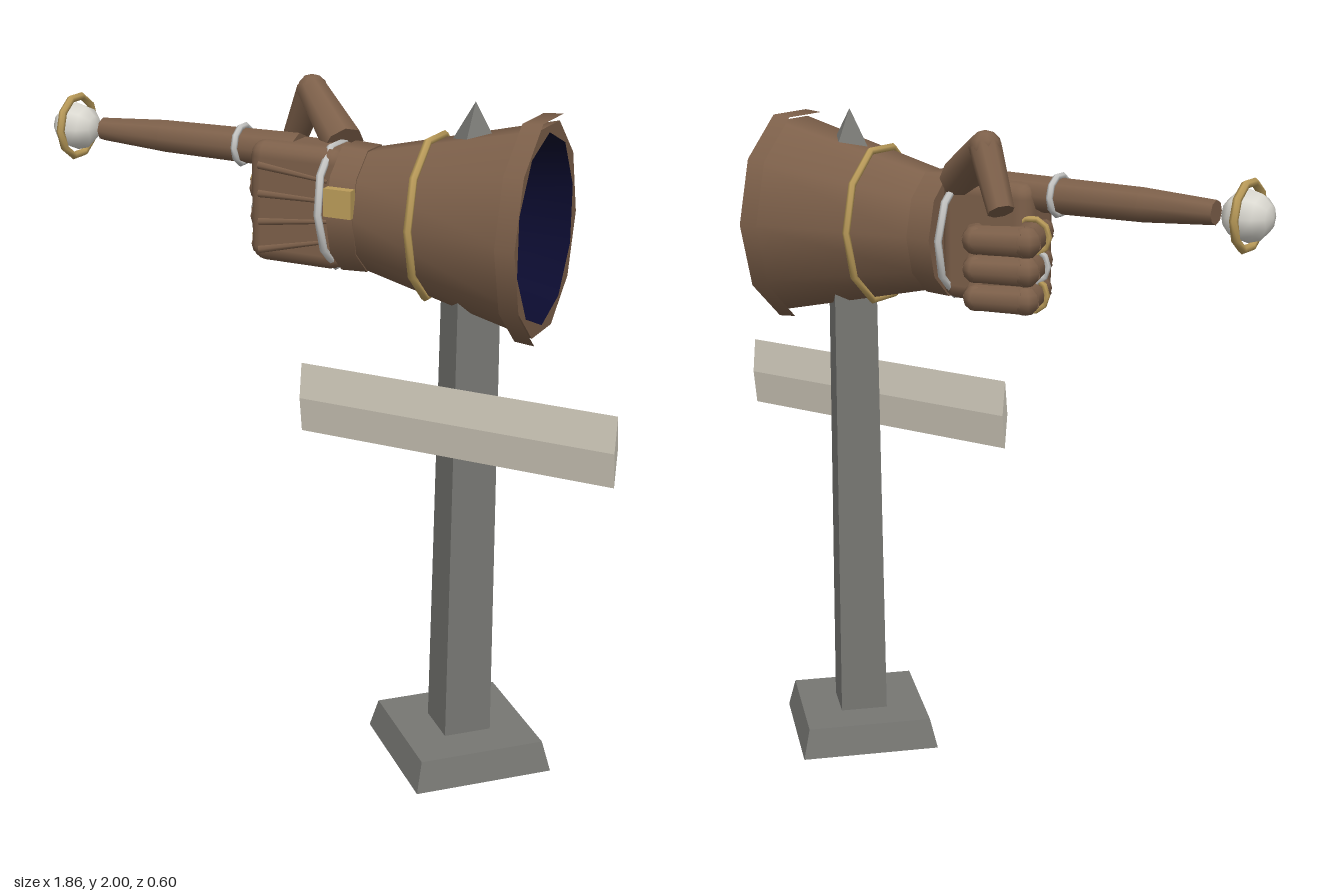
import * as THREE from 'three';
import { RoundedBoxGeometry } from 'three/addons/geometries/RoundedBoxGeometry.js';

const AXIS_Y = 1.667;   // height of the gauntlet's axis
const FLAT = 0.78;      // depth of its oval section relative to its height

function material(name, color, side = THREE.FrontSide) {
  const m = new THREE.MeshStandardMaterial({ color, side });
  m.name = name;
  return m;
}

export function createModel() {
  const leather = material('brown leather', 0x7d604a);
  const stone = material('grey stone', 0x777773);
  const wood = material('pale board', 0xcac4b6);
  const brass = material('brass', 0xbb9c5a);
  const silver = material('silver', 0xc8c8c6);
  const pearl = material('pearl', 0xdcdad2);
  const lining = material('navy lining', 0x0b0b2e, THREE.DoubleSide);

  const model = new THREE.Group();
  const V = (x, y, z) => new THREE.Vector3(x, y, z);
  const add = (name, geo, mat, x = 0, y = 0, z = 0, parent = model) => {
    const mesh = new THREE.Mesh(geo, mat);
    mesh.name = name;
    mesh.position.set(x, y, z);
    parent.add(mesh);
    return mesh;
  };

  // Oval tube along x, from x0 to x1
  const oval = (name, mat, x0, x1, r0, r1, open = false, start = 0) => {
    const g = new THREE.CylinderGeometry(r1, r0, x1 - x0, 10, 1, open, start);
    g.rotateZ(-Math.PI / 2).scale(1, 1, FLAT);
    return add(name, g, mat, (x0 + x1) / 2, AXIS_Y, 0);
  };
  // Hoop around the x axis
  const hoop = (name, mat, x, y, z, r, tube, flat = 1, sides = 10) => {
    const g = new THREE.TorusGeometry(r, tube, 6, sides);
    g.rotateY(Math.PI / 2).scale(1, 1, flat);
    return add(name, g, mat, x, y, z);
  };
  // Tapered limb between two points
  const limb = (name, a, b, r0, r1, parent = model, sides = 8) => {
    const d = b.clone().sub(a);
    const mesh = add(name, new THREE.CylinderGeometry(r1, r0, d.length(), sides), leather, 0, 0, 0, parent);
    mesh.position.copy(a).lerp(b, 0.5);
    mesh.quaternion.setFromUnitVectors(V(0, 1, 0), d.normalize());
    return mesh;
  };
  const joint = (name, p, r, parent) =>
    add(name, new THREE.SphereGeometry(r, 8, 6), leather, p.x, p.y, p.z, parent);

  // Post, foot and spike: square sections standing on their corners
  add('foot', new THREE.CylinderGeometry(0.272, 0.302, 0.092, 4).toNonIndexed(), stone, 0.44, 0.046, 0);
  add('post', new THREE.CylinderGeometry(0.09, 0.103, 1.37, 4), stone, 0.44, 0.775, 0);
  add('spike', new THREE.ConeGeometry(0.066, 0.11, 4), stone, 0.44, 1.945, 0);
  stone.flatShading = true;

  // Sign board with a flat diamond section
  const board = new THREE.CylinderGeometry(0.105, 0.105, 0.965, 4).toNonIndexed();
  board.rotateZ(Math.PI / 2).scale(1, 1, 0.13);
  board.computeVertexNormals();
  add('signBoard', board, wood, 0.4425, 1.105, 0.109);

  // Cuff: flared sleeve, outer hem, rim and hollow lining
  oval('sleeve', leather, 0.135, 0.655, 0.179, 0.303, true);
  oval('hem', leather, 0.606, 0.665, 0.318, 0.323, true);
  const ring = (r, phase) => Array.from({ length: 10 }, (_, i) => {
    const a = i * Math.PI / 5 + phase;
    return new THREE.Vector2(r * FLAT * Math.cos(a), r * Math.sin(a));
  });
  const rim = new THREE.Shape(ring(0.303, 0));
  rim.holes.push(new THREE.Path(ring(0.27, Math.PI / 10)));
  add('rim', new THREE.ShapeGeometry(rim).rotateY(Math.PI / 2), leather, 0.655, AXIS_Y, 0);
  oval('lining', lining, 0.38, 0.655, 0.2, 0.27, true, Math.PI / 10);
  const floor = new THREE.CircleGeometry(0.2, 10, Math.PI / 10).rotateY(Math.PI / 2).scale(1, 1, FLAT);
  add('liningEnd', floor, lining, 0.38, AXIS_Y, 0);
  hoop('sleeveBand', brass, 0.325, AXIS_Y, 0, 0.232, 0.012, FLAT);

  // Wrist
  oval('wrist', leather, 0.058, 0.138, 0.188, 0.184);
  add('buckle', new THREE.BoxGeometry(0.085, 0.08, 0.03), brass, 0.097, 1.71, 0.14);
  hoop('bracelet', silver, 0.03, AXIS_Y, 0, 0.18, 0.012, FLAT).rotation.z = 0.05;

  // Hand with tendon ridges on its back
  add('hand', new RoundedBoxGeometry(0.3, 0.356, 0.165, 2, 0.045), leather, -0.08, 1.664, 0);
  for (let i = 0; i < 4; i++) {
    limb('tendon', V(-0.19, 1.775 - i * 0.083, 0.08), V(0.03, 1.75 - i * 0.058, 0.08), 0.012, 0.006, model, 6);
  }

  // Pointing finger with ring and floating pearl
  limb('fingerBase', V(-0.1, 1.806, 0), V(-0.55, 1.806, 0), 0.054, 0.048);
  limb('fingerEnd', V(-0.55, 1.806, 0), V(-0.768, 1.806, 0), 0.048, 0.034);
  hoop('fingerRing', silver, -0.285, 1.808, 0, 0.055, 0.01);
  add('pearl', new THREE.SphereGeometry(0.072, 8, 6).rotateZ(Math.PI / 2), pearl, -0.862, 1.806, 0);
  hoop('halo', brass, -0.862, 1.806, 0, 0.09, 0.012);

  // Three curled fingers, each with a ring
  [1.695, 1.612, 1.53].forEach((y, i) => {
    const finger = new THREE.Group();
    finger.name = 'curledFinger';
    model.add(finger);
    const r = 0.046 - i * 0.002;
    const a = V(-0.205, y, 0.02), b = V(-0.25, y - 0.005, -0.12), c = V(-0.1, y - 0.01, -0.14), d = V(-0.06, y - 0.01, -0.08);
    limb('proximal', a, b, r, r, finger);
    limb('middle', b, c, r, r * 0.92, finger);
    limb('tip', c, d, r * 0.92, r * 0.8, finger);
    joint('knuckle', a, r, finger);
    joint('bend', b, r, finger);
    joint('endBend', c, r * 0.92, finger);
    const band = add('ring', new THREE.TorusGeometry(r + 0.006, 0.009, 6, 10), i === 1 ? silver : brass,
      -0.23, y, -0.06, finger);
    band.rotation.y = 0.31;
  });

  // Thumb arching over the fist
  const t0 = V(0.02, 1.83, -0.04), t1 = V(-0.145, 1.95, -0.165), t2 = V(-0.235, 1.79, -0.225);
  limb('thumbBase', t0, t1, 0.062, 0.046);
  joint('thumbJoint', t1, 0.047, model);
  limb('thumbTip', t1, t2, 0.046, 0.038);

  return model;
}
